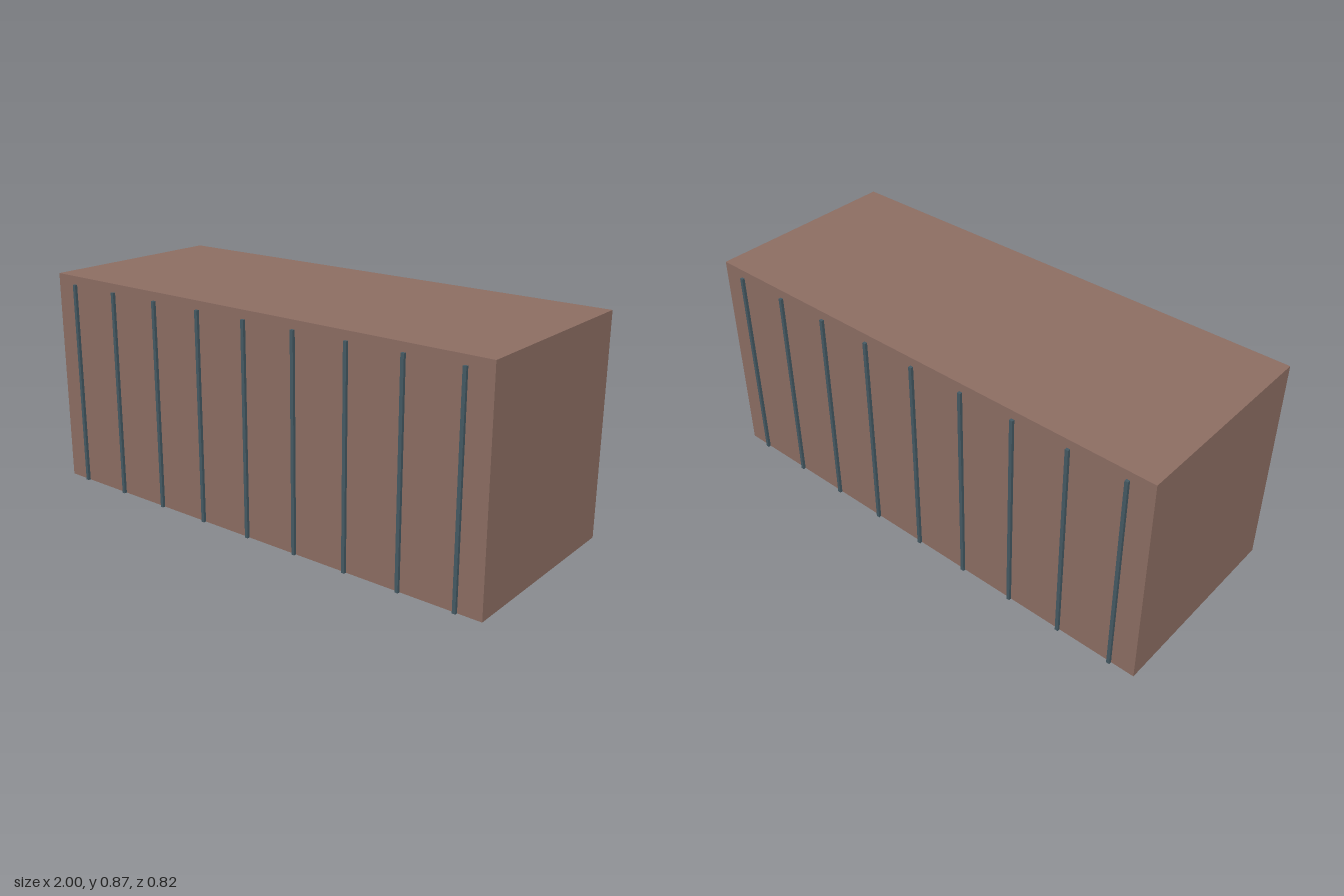
import * as THREE from 'three';

export function createModel() {
  const model = new THREE.Group();
  const bodyMaterial = new THREE.MeshStandardMaterial({ color: 0x8d6e63 });
  const ribMaterial = new THREE.MeshStandardMaterial({ color: 0x455a64 });

  const addBox = (name, size, position, material, parent) => {
    const mesh = new THREE.Mesh(new THREE.BoxGeometry(...size), material);
    mesh.name = name;
    mesh.position.set(...position);
    parent.add(mesh);
  };

  // Main block
  const height = 0.867, depth = 0.8;
  addBox('body', [2, height, depth], [0, height / 2, 0], bodyMaterial, model);

  // Nine thin upright ribs on each long wall, half sunk into it
  const ribCount = 9, ribSpacing = 0.225, ribHeight = 0.833;
  for (const side of [1, -1]) {
    const ribs = new THREE.Group();
    ribs.name = side > 0 ? 'frontRibs' : 'backRibs';
    for (let i = 0; i < ribCount; i++) {
      const x = (i - (ribCount - 1) / 2) * ribSpacing;
      addBox('rib', [0.0133, ribHeight, 0.02], [x, ribHeight / 2, side * 0.401], ribMaterial, ribs);
    }
    model.add(ribs);
  }

  return model;
}
